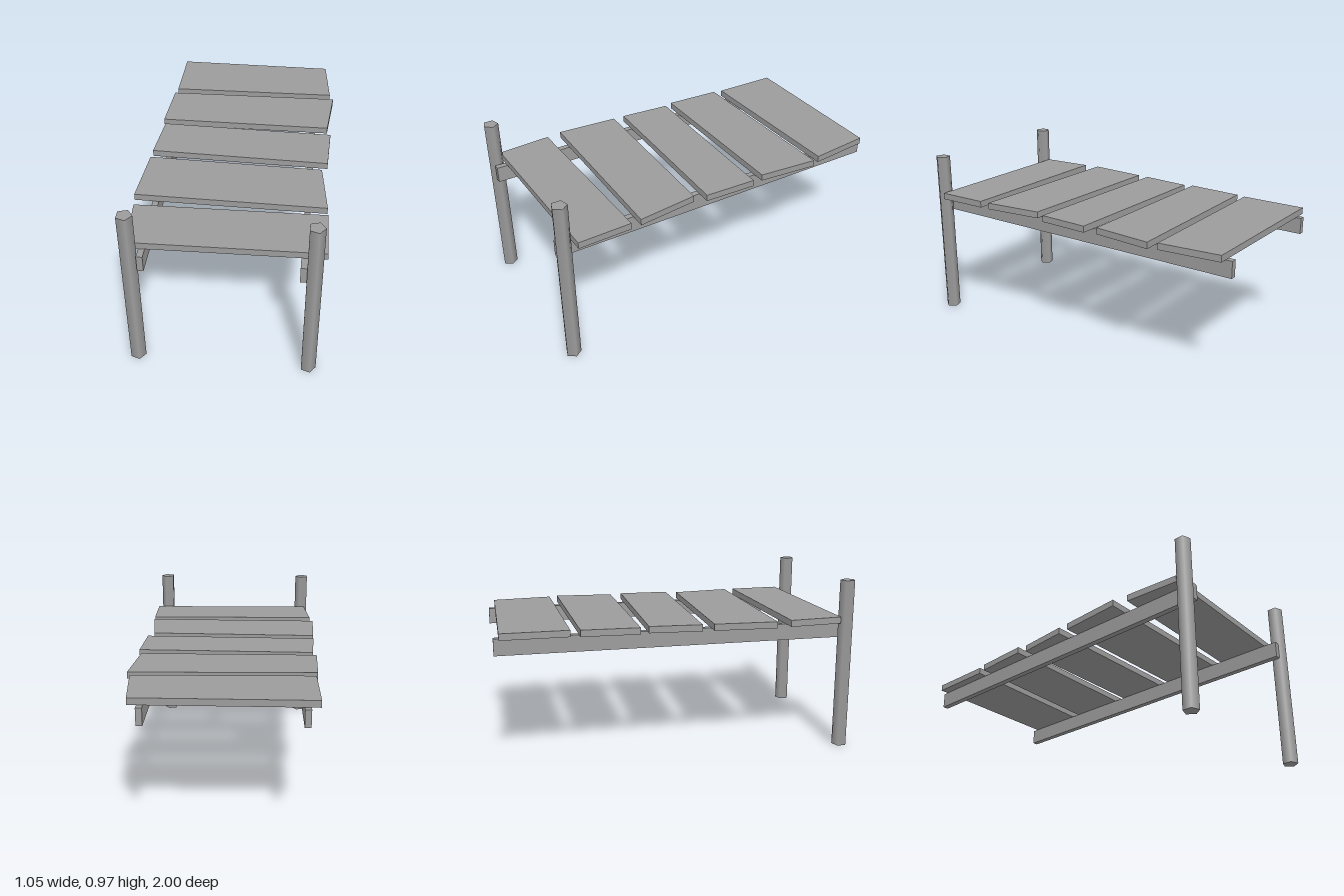
import * as THREE from 'three';

export function createModel() {
  const group = new THREE.Group();
  const material = new THREE.MeshStandardMaterial({ color: 0x9c9c9c });
  const add = (name, geometry, x, y, z) => {
    const mesh = new THREE.Mesh(geometry, material);
    mesh.name = name;
    mesh.position.set(x, y, z);
    group.add(mesh);
  };

  // Five-sided posts at the front, one corner pointing to +x
  const postHeight = 0.972;
  const postGeometry = new THREE.CylinderGeometry(0.043, 0.043, postHeight, 5, 1, false, Math.PI / 2);
  add('rightPost', postGeometry, -0.468, postHeight / 2, 0.959);
  add('leftPost', postGeometry, 0.456, postHeight / 2, 0.959);

  // Long rails carrying the deck
  const railGeometry = new THREE.BoxGeometry(0.033, 0.092, 1.979);
  add('rightRail', railGeometry, -0.408, 0.681, -0.0105);
  add('leftRail', railGeometry, 0.405, 0.681, -0.0105);

  // Uneven deck planks, back to front; corners as [x, z]
  const planks = [
    [[-0.472, -0.972], [0.468, -0.964], [0.502, -0.618], [-0.472, -0.601]],
    [[-0.483, -0.55], [0.523, -0.569], [0.493, -0.228], [-0.497, -0.23]],
    [[-0.48, -0.182], [0.513, -0.157], [0.502, 0.139], [-0.501, 0.11]],
    [[-0.503, 0.175], [0.471, 0.203], [0.51, 0.545], [-0.523, 0.529]],
    [[-0.508, 0.616], [0.513, 0.602], [0.52, 0.903], [-0.485, 0.92]],
  ];
  planks.forEach((corners, i) => {
    const shape = new THREE.Shape(corners.map(([x, z]) => new THREE.Vector2(x, -z)));
    const geometry = new THREE.ExtrudeGeometry(shape, { depth: 0.037, bevelEnabled: false });
    geometry.rotateX(-Math.PI / 2);
    add(`plank${i + 1}`, geometry, 0, 0.728, 0);
  });

  return group;
}
